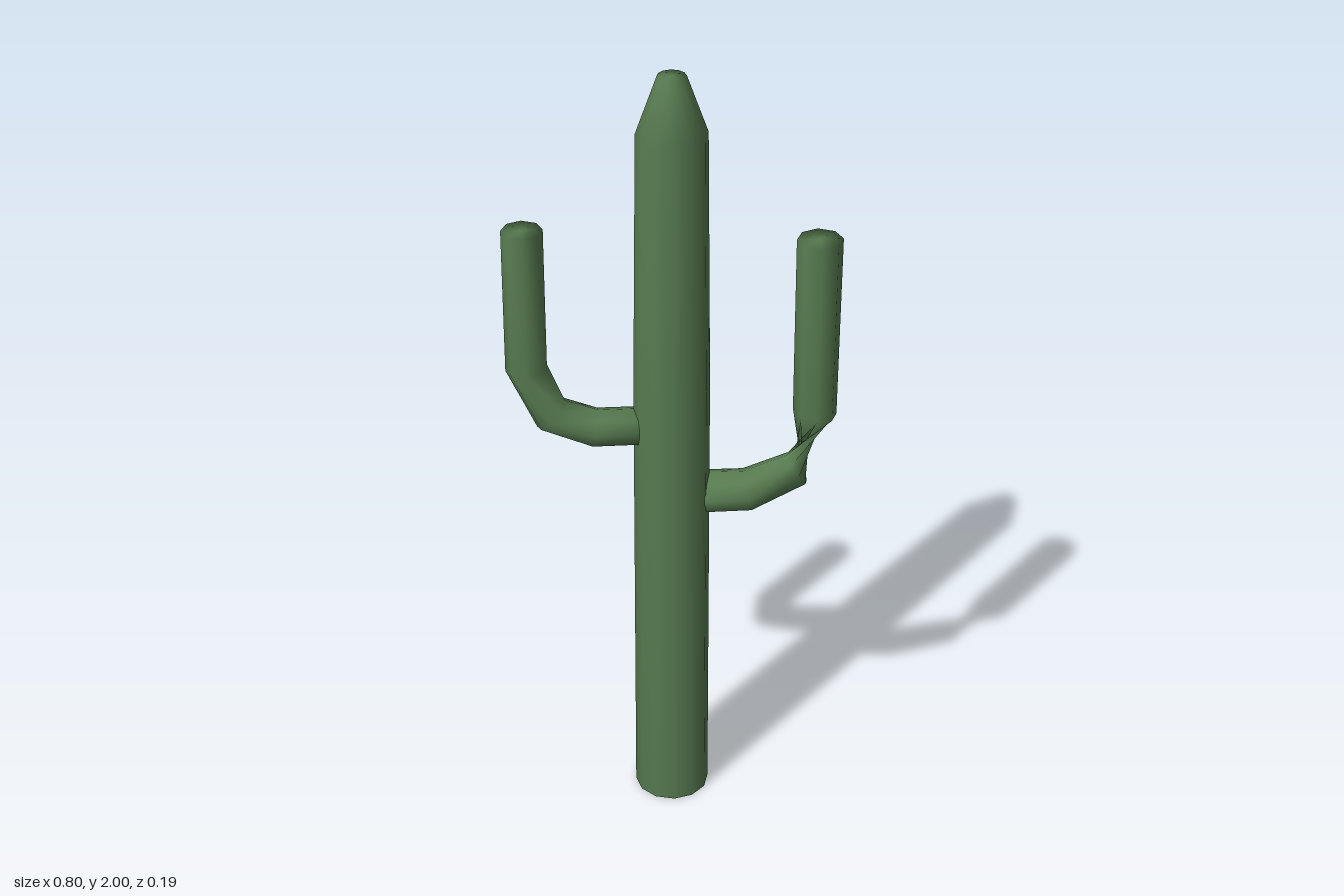
import * as THREE from 'three';

// Capped tube through rings in the xy plane.
// ring = [x, y, heading in degrees, radius, twist in steps]
function loft(rings, sides) {
  const pos = [], idx = [];
  for (const [x, y, heading, r, twist = 0] of rings) {
    const t = THREE.MathUtils.degToRad(heading);
    for (let i = 0; i < sides; i++) {
      const a = ((i + twist) / sides) * Math.PI * 2;
      const n = Math.cos(a) * r;
      pos.push(x - Math.sin(t) * n, y + Math.cos(t) * n, Math.sin(a) * r);
    }
  }
  for (let k = 0; k < rings.length - 1; k++) {
    for (let i = 0; i < sides; i++) {
      const j = (i + 1) % sides;
      const a = k * sides + i, b = k * sides + j, c = a + sides, d = b + sides;
      idx.push(a, b, c, b, d, c);
    }
  }
  // end caps share the rim so the shading stays soft
  const last = (rings.length - 1) * sides;
  const first = pos.length / 3;
  pos.push(rings[0][0], rings[0][1], 0);
  pos.push(rings.at(-1)[0], rings.at(-1)[1], 0);
  for (let i = 0; i < sides; i++) {
    const j = (i + 1) % sides;
    idx.push(first, j, i, first + 1, last + i, last + j);
  }
  const geo = new THREE.BufferGeometry();
  geo.setAttribute('position', new THREE.Float32BufferAttribute(pos, 3));
  geo.setIndex(idx);
  geo.computeVertexNormals();
  return geo;
}

export function createModel() {
  const group = new THREE.Group();
  group.name = 'cactus';
  const green = new THREE.MeshStandardMaterial({ color: 0x577b50, side: THREE.DoubleSide });
  green.name = 'cactus green';

  const add = (name, rings, sides) => {
    const mesh = new THREE.Mesh(loft(rings, sides), green);
    mesh.name = name;
    group.add(mesh);
  };

  // trunk with a blunt tapered tip
  const cx = -0.004;
  add('trunk', [
    [cx, 0, 90, 0.094],
    [cx, 1.2, 90, 0.092],
    [cx, 1.86, 90, 0.084],
    [cx, 2, 90, 0.034],
  ], 12);

  // upper arm on the right side
  add('rightArm', [
    [-0.085, 1.087, 180, 0.048],
    [-0.19, 1.087, 168, 0.049],
    [-0.295, 1.13, 136, 0.049],
    [-0.351, 1.26, 98, 0.05],
    [-0.351, 1.625, 90, 0.049],
  ], 8);

  // lower arm on the left side, pinched by a half turn at the elbow
  add('leftArm', [
    [0.073, 0.892, 0, 0.054],
    [0.182, 0.892, 12, 0.054],
    [0.303, 0.948, 34, 0.046],
    [0.343, 1.11, 80, 0.054, 4],
    [0.343, 1.577, 90, 0.055, 4],
  ], 8);

  return group;
}
